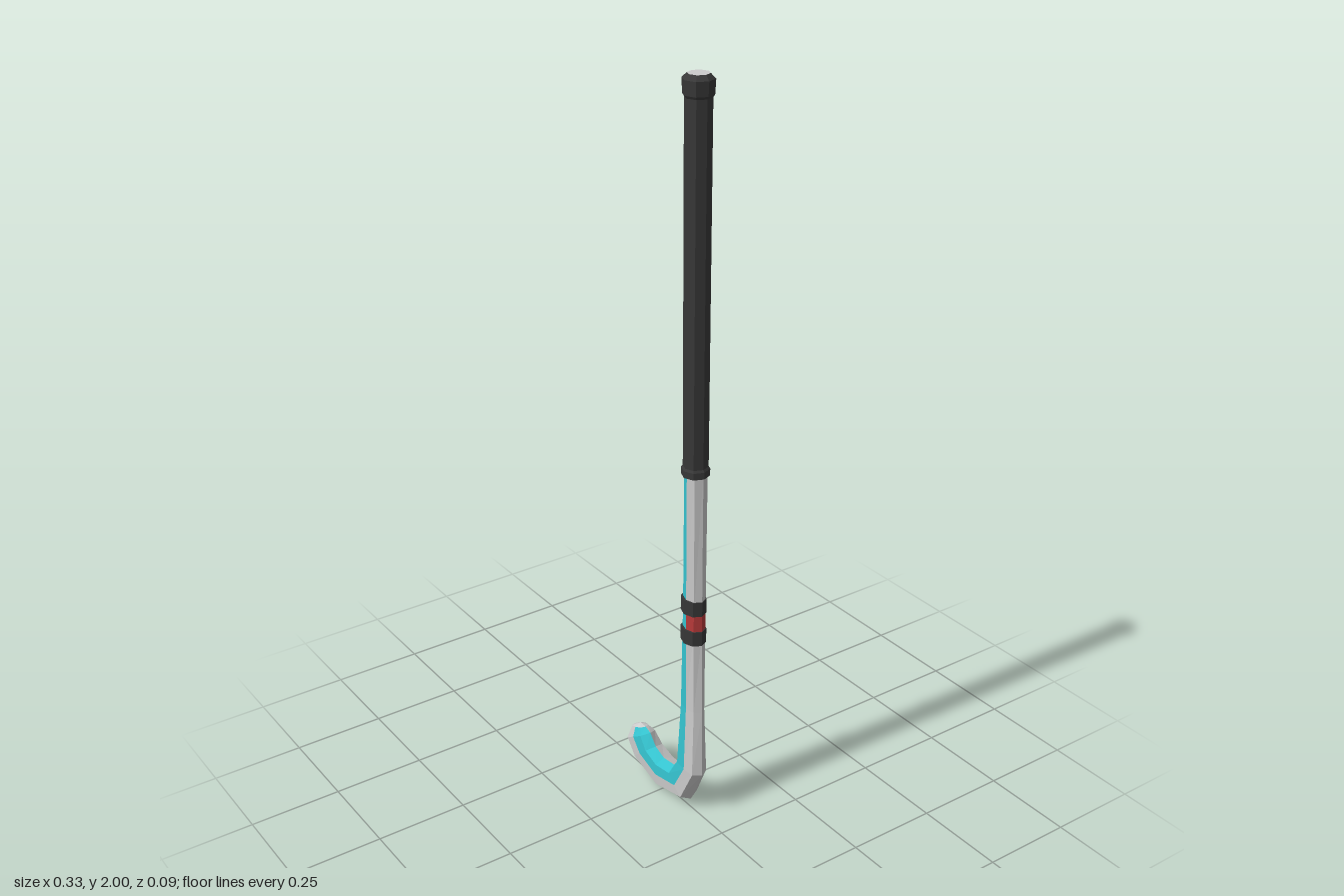
import * as THREE from 'three';

const SIDES = 8;
const CX = 0.124, CZ = 0.003; // shaft axis

const paint = (color) => new THREE.MeshStandardMaterial({ color, flatShading: true });

// Octagonal ring: inner edge point, outer edge point, front z, back z, front flatness
function ring([ix, iy, ox, oy, zf, zb, flat = 0.72]) {
  const mx = (ix + ox) / 2, my = (iy + oy) / 2, zm = 0.002;
  const pts = [];
  for (let j = 0; j < SIDES; j++) {
    const a = (j / SIDES) * Math.PI * 2;
    const u = Math.cos(a), s = Math.sin(a);
    let z = zm;
    if (s > 0.9) z = zf;
    else if (s > 0.1) z = zm + (zf - zm) * flat;
    else if (s < -0.9) z = zb;
    else if (s < -0.1) z = zm + (zb - zm) * 0.72;
    pts.push([mx + (ix - mx) * u, my + (iy - my) * u, z]);
  }
  return pts;
}

// Skin the facets from j0 up to j1 between successive rings, with an optional end point
function loft(stations, j0, j1, apex) {
  const rings = stations.map(ring), pos = [];
  const tri = (...p) => p.forEach((q) => pos.push(...q));
  for (let i = 0; i < rings.length - 1; i++) {
    for (let j = j0; j < j1; j++) {
      const k = (j + 1) % SIDES;
      const a = rings[i][j], b = rings[i][k], c = rings[i + 1][j], d = rings[i + 1][k];
      tri(a, c, b);
      tri(b, c, d);
    }
  }
  if (apex) {
    const r = rings[rings.length - 1];
    for (let j = 0; j < SIDES; j++) tri(r[j], apex, r[(j + 1) % SIDES]);
  }
  const g = new THREE.BufferGeometry();
  g.setAttribute('position', new THREE.Float32BufferAttribute(pos, 3));
  g.computeVertexNormals();
  return g;
}

export function createModel() {
  const group = new THREE.Group();
  const grey = paint(0xcccccc), teal = paint(0x35c4d0);
  const black = paint(0x383838), red = paint(0xb83a3a);

  const add = (name, geometry, material) => {
    const mesh = new THREE.Mesh(geometry, material);
    mesh.name = name;
    group.add(mesh);
    return mesh;
  };
  // Eight-sided turned part around the shaft axis
  const turned = (name, profile, material, x = CX) => {
    const pts = profile.map(([r, y]) => new THREE.Vector2(r, y));
    const mesh = add(name, new THREE.LatheGeometry(pts, SIDES), material);
    mesh.position.set(x, 0, CZ);
    return mesh;
  };

  // Shaft and head sections, from the grip down and round the hook
  const upper = [
    [0.094, 1.03, 0.155, 1.03, 0.03, -0.025],
    [0.089, 0.63, 0.155, 0.63, 0.028, -0.023],
  ];
  const middle = [upper[1], [0.087, 0.57, 0.155, 0.57, 0.028, -0.023]];
  const lower = [
    middle[1],
    [0.078, 0.33, 0.158, 0.33, 0.024, -0.021, 0.8],
    [0.067, 0.14, 0.163, 0.135, 0.028, -0.03, 0.9],
    [0.036, 0.094, 0.112, 0.028, 0.03, -0.038, 0.95],
    [-0.014, 0.088, -0.014, 0, 0.03, -0.043, 0.95],
    [-0.052, 0.103, -0.128, 0.035, 0.03, -0.039, 0.95],
    [-0.078, 0.133, -0.167, 0.078, 0.029, -0.032, 0.9],
    [-0.1, 0.141, -0.155, 0.122, 0.018, -0.017, 0.8],
  ];

  // Painted face covers the two inner front facets, the body covers the rest
  add('upperShaft', loft(upper, 2, SIDES), grey);
  add('redStripe', loft(middle, 2, SIDES), red);
  add('lowerShaftAndHead', loft(lower, 2, SIDES, [-0.125, 0.142, 0.002]), grey);
  add('paintedFace', loft([...upper, ...lower], 0, 2), teal);

  // Black bands above and below the red stripe
  for (const [name, y] of [['upperBand', 0.622], ['lowerBand', 0.535]]) {
    const h = 0.041;
    turned(name, [[0.028, y], [0.037, y], [0.037, y + h], [0.028, y + h]], black, 0.12)
      .scale.z = 0.82;
  }

  // Grip with a raised lower collar
  turned('grip', [[0.028, 1.012], [0.036, 1.012], [0.036, 1.03], [0.032, 1.036], [0.033, 1.955]], black);

  // End cap with a pale top disc
  turned('endCap', [[0.032, 1.945], [0.037, 1.953], [0.039, 1.988], [0.027, 2]], black);
  turned('capTop', [[0.027, 2], [0, 2]], grey);

  return group;
}
